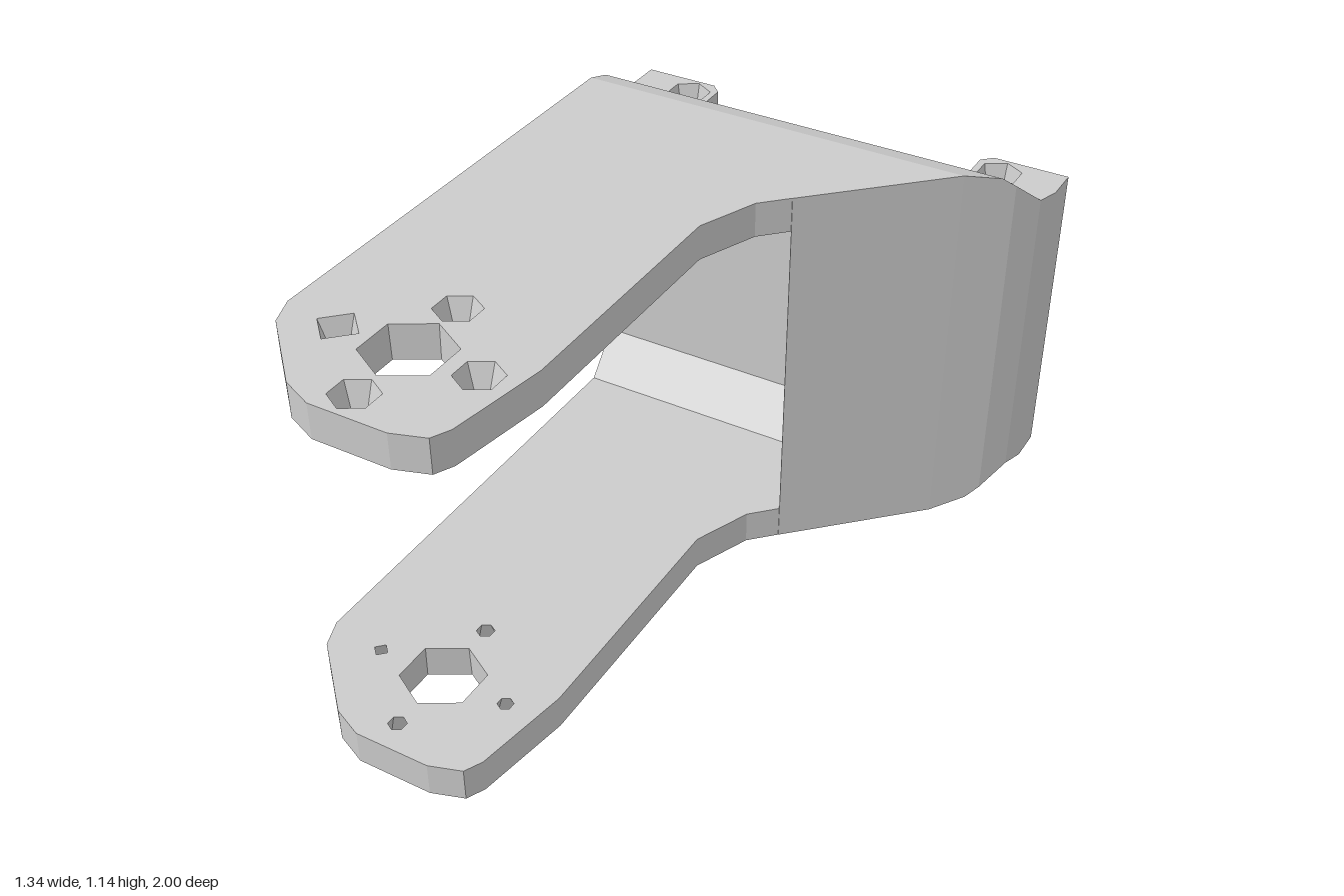
import * as THREE from 'three';

const H = 1.14;
const material = new THREE.MeshStandardMaterial({ color: 0xcccccc, flatShading: true });
const P = (list) => list.map(([x, z]) => new THREE.Vector2(x, -z));

function addMesh(parent, name, geometry) {
  const mesh = new THREE.Mesh(geometry, material);
  mesh.name = name;
  parent.add(mesh);
}

function fromTriangles(points) {
  const g = new THREE.BufferGeometry().setFromPoints(points);
  g.computeVertexNormals();
  return g;
}

// Hole ring: polygon around (x, z) with a corner pointing along z
function ring({ x, z, r, sides }, k) {
  return Array.from({ length: sides }, (_, i) => {
    const a = Math.PI / 2 - (i / sides) * Math.PI * 2;
    return new THREE.Vector2(x + r * k * Math.cos(a), -z + r * k * Math.sin(a));
  });
}

// Horizontal plate; its holes narrow by their taper from yOuter to yInner
function plate(outline, holes, yOuter, yInner) {
  const contour = P(outline);
  if (THREE.ShapeUtils.isClockWise(contour)) contour.reverse();
  const up = yOuter > yInner;
  const outer = [contour, ...holes.map((h) => ring(h, 1))];
  const inner = [contour, ...holes.map((h) => ring(h, h.taper))];
  const [top, bottom] = up ? [outer, inner] : [inner, outer];
  const yTop = Math.max(yOuter, yInner), yBottom = Math.min(yOuter, yInner);
  const at = (p, y) => new THREE.Vector3(p.x, y, -p.y);
  const tris = [];
  // caps
  for (const [loops, y, flip] of [[top, yTop, false], [bottom, yBottom, true]]) {
    const all = loops.flat();
    for (const f of THREE.ShapeUtils.triangulateShape(loops[0], loops.slice(1))) {
      const t = f.map((i) => at(all[i], y));
      tris.push(...(flip ? t.reverse() : t));
    }
  }
  // rim and hole walls
  top.forEach((loop, k) => loop.forEach((p, i) => {
    const j = (i + 1) % loop.length;
    const a = at(bottom[k][i], yBottom), b = at(bottom[k][j], yBottom);
    const c = at(loop[j], yTop), d = at(p, yTop);
    tris.push(a, b, c, a, c, d);
  }));
  return fromTriangles(tris);
}

// Solid gusset: rectangles swept from front to back, [z, xOuter, inset]
function gusset() {
  const rings = [[-0.33, 0.151, 0], [-0.66, 0.49, 0], [-0.74, 0.57, 0.025],
    [-0.77, 0.6, 0.054], [-0.84, 0.65, 0.118]]
    .map(([z, x, d]) => [[0.15, d], [x, d], [x, H - d], [0.15, H - d]]
      .map(([px, py]) => new THREE.Vector3(px, py, z)));
  const tris = [];
  const quad = (a, b, c, d) => tris.push(a, b, c, a, c, d);
  for (let r = 0; r < rings.length - 1; r++) {
    for (let i = 0; i < 4; i++) {
      const j = (i + 1) % 4;
      quad(rings[r][j], rings[r][i], rings[r + 1][i], rings[r + 1][j]);
    }
  }
  quad(...rings[0]);
  quad(...[...rings[rings.length - 1]].reverse());
  return fromTriangles(tris);
}

export function createModel() {
  const group = new THREE.Group();
  group.name = 'bracket';

  // Upper and lower arms with a bearing hole and four countersunk screw holes
  const armOutline = [[-0.67, -0.62], [0.15, -0.62], [0.15, -0.33], [0.08, -0.26],
    [0.01, -0.09], [0.01, 0.64], [-0.035, 0.92], [-0.06, 0.97], [-0.15, 1],
    [-0.37, 1], [-0.46, 0.96], [-0.64, 0.78], [-0.67, 0.7]];
  const armHoles = [
    { x: -0.3, z: 0.72, r: 0.12, sides: 6, taper: 0.97 },
    { x: -0.3, z: 0.525, r: 0.063, sides: 6, taper: 0.4 },
    { x: -0.3, z: 0.92, r: 0.063, sides: 6, taper: 0.4 },
    { x: -0.5, z: 0.725, r: 0.062, sides: 4, taper: 0.35 },
    { x: -0.1, z: 0.725, r: 0.063, sides: 6, taper: 0.35 },
  ];
  addMesh(group, 'upperArm', plate(armOutline, armHoles, H, 1.04));
  addMesh(group, 'lowerArm', plate(armOutline, armHoles, 0, 0.1));

  // Back wall with chamfered corners, extruded along x
  const half = [[-0.62, 0], [-0.62, 0.1], [-0.73, 0.225]];
  const outerHalf = [[-0.84, 0.118], [-0.74, 0.025], [-0.66, 0]];
  const mirror = (pts) => pts.map(([z, y]) => [z, H - y]).reverse();
  const section = [...half, ...mirror(half), ...mirror(outerHalf), ...outerHalf];
  const wall = new THREE.ExtrudeGeometry(
    new THREE.Shape(section.map(([z, y]) => new THREE.Vector2(z, y))),
    { depth: 0.82, bevelEnabled: false });
  wall.rotateY(-Math.PI / 2).translate(0.15, 0, 0);
  addMesh(group, 'backWall', wall);
  addMesh(group, 'sideGusset', gusset());

  // Rear side flanges and four corner lugs with vertical screw holes
  for (const s of [-1, 1]) {
    const side = s < 0 ? 'right' : 'left';
    const edge = s < 0 ? [[-0.67, -0.84], [-0.67, -1]]
      : [[0.65, -0.84], [0.67, -0.9], [0.67, -1]];
    addMesh(group, side + 'Flange',
      plate([[s * 0.575, -0.84], ...edge, [s * 0.575, -1]], [], 0.905, 0.235));
    const lug = [[s * 0.42, -0.84], ...edge, [s * 0.45, -1], [s * 0.42, -0.97]];
    const hole = [{ x: s * 0.495, z: -0.925, r: 0.064, sides: 6, taper: 0.55 }];
    addMesh(group, side + 'UpperLug', plate(lug, hole, 1.022, 0.905));
    addMesh(group, side + 'LowerLug', plate(lug, hole, 0.118, 0.235));
  }
  return group;
}
